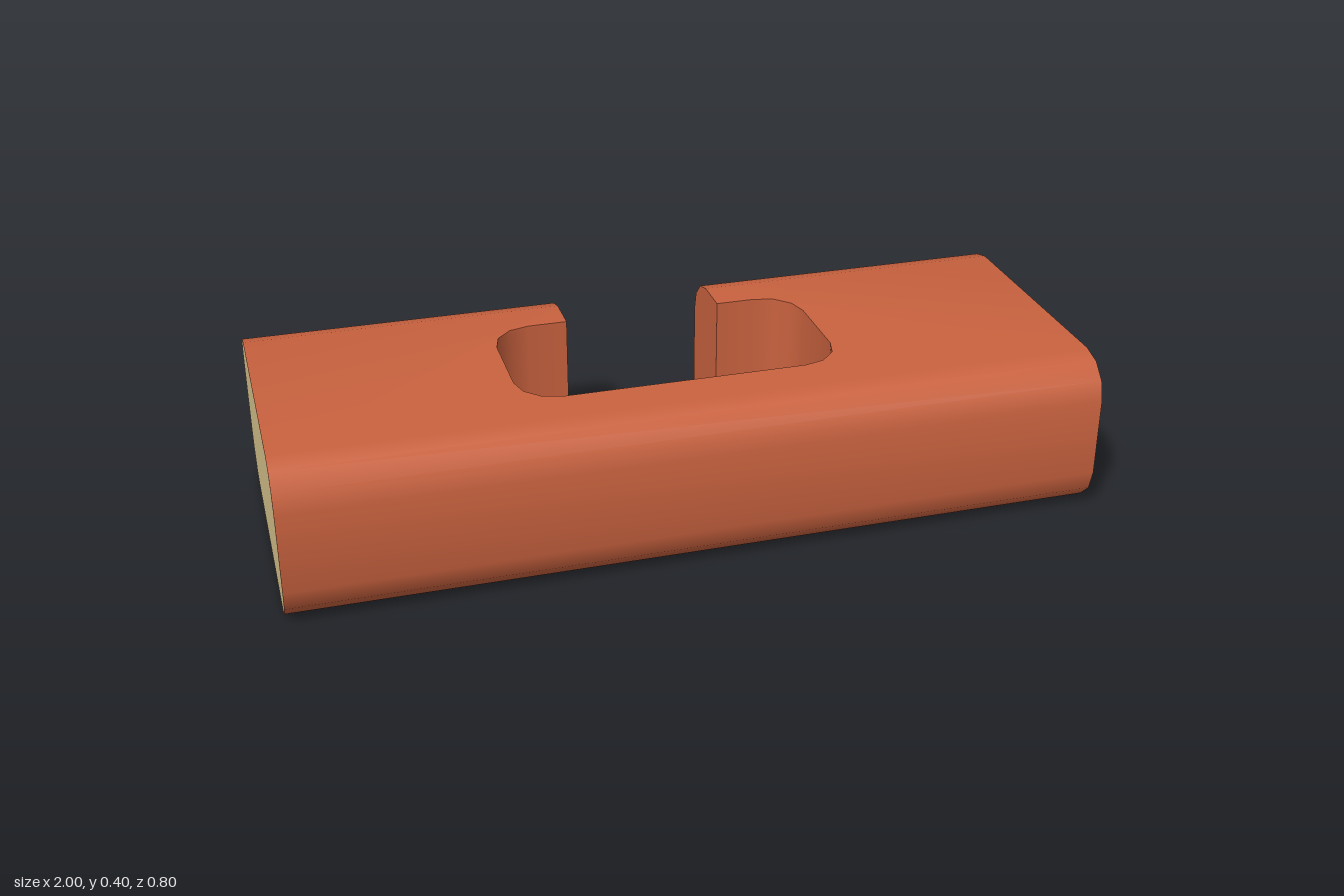
import * as THREE from 'three';
import { toCreasedNormals } from 'three/addons/utils/BufferGeometryUtils.js';

const HEIGHT = 0.4, HALF_DEPTH = 0.4, RADIUS = 0.1, STEPS = 3;
const FLAT = HALF_DEPTH - RADIUS;

// Plan of the block: a long bar with a rounded slot that opens to the back
function planShape() {
  const pts = [[-1, -FLAT], [1, -FLAT], [1, FLAT], [0.2, FLAT], [0.2, 0.2]];
  const corners = [[0.3, 0.1], [0.3, -0.1], [-0.3, -0.1], [-0.3, 0.1]];
  corners.forEach(([cx, cy], k) => {
    for (let i = 0; i <= STEPS; i++) {
      const a = Math.PI / 2 * (1 - k - i / STEPS);
      pts.push([cx + RADIUS * Math.cos(a), cy + RADIUS * Math.sin(a)]);
    }
  });
  pts.push([-0.2, 0.2], [-0.2, FLAT], [-1, FLAT]);
  return new THREE.Shape(pts.map(([x, y]) => new THREE.Vector2(x, y)));
}

// Height and half depth of every layer, following the rounded long edges
function layers() {
  const lower = [];
  for (let i = 0; i <= STEPS; i++) {
    const a = Math.PI / 2 * i / STEPS;
    lower.push({ y: RADIUS * (1 - Math.cos(a)), w: FLAT + RADIUS * Math.sin(a) });
  }
  const upper = lower.map(({ y, w }) => ({ y: HEIGHT - y, w })).reverse();
  return [...lower, ...upper];
}

// Copies the triangles that pass the test into a new geometry
function pickFaces(geometry, test) {
  const src = geometry.attributes.position.array;
  const out = [];
  for (let i = 0; i < src.length; i += 9) {
    const tri = src.slice(i, i + 9);
    if (test(tri)) out.push(...tri);
  }
  const picked = new THREE.BufferGeometry();
  picked.setAttribute('position', new THREE.Float32BufferAttribute(out, 3));
  picked.computeVertexNormals();
  return toCreasedNormals(picked, Math.PI * 0.2);
}

export function createModel() {
  const group = new THREE.Group();
  group.name = 'slottedBlock';

  // Extrude one step per layer, then push the long sides out to the rounded profile
  const rows = layers();
  const last = rows.length - 1;
  const solid = new THREE.ExtrudeGeometry(planShape(), { depth: last, steps: last, bevelEnabled: false });
  const pos = solid.attributes.position;
  for (let i = 0; i < pos.count; i++) {
    const { y, w } = rows[Math.round(pos.getZ(i))];
    const s = pos.getY(i);
    pos.setY(i, Math.abs(s) > FLAT - 0.001 ? Math.sign(s) * w : s);
    pos.setZ(i, y);
  }
  solid.rotateX(-Math.PI / 2);

  const isEnd = (t) => [t[0], t[3], t[6]].every((x) => x > 0.999) || [t[0], t[3], t[6]].every((x) => x < -0.999);

  // Clay-coloured outer skin and slot
  const body = new THREE.Mesh(pickFaces(solid, (t) => !isEnd(t)), new THREE.MeshStandardMaterial({ color: 0xc9623f }));
  body.name = 'body';

  // Pale cut faces at both ends
  const ends = new THREE.Mesh(pickFaces(solid, isEnd), new THREE.MeshStandardMaterial({ color: 0xd2be8a }));
  ends.name = 'endFaces';

  group.add(body, ends);
  return group;
}
